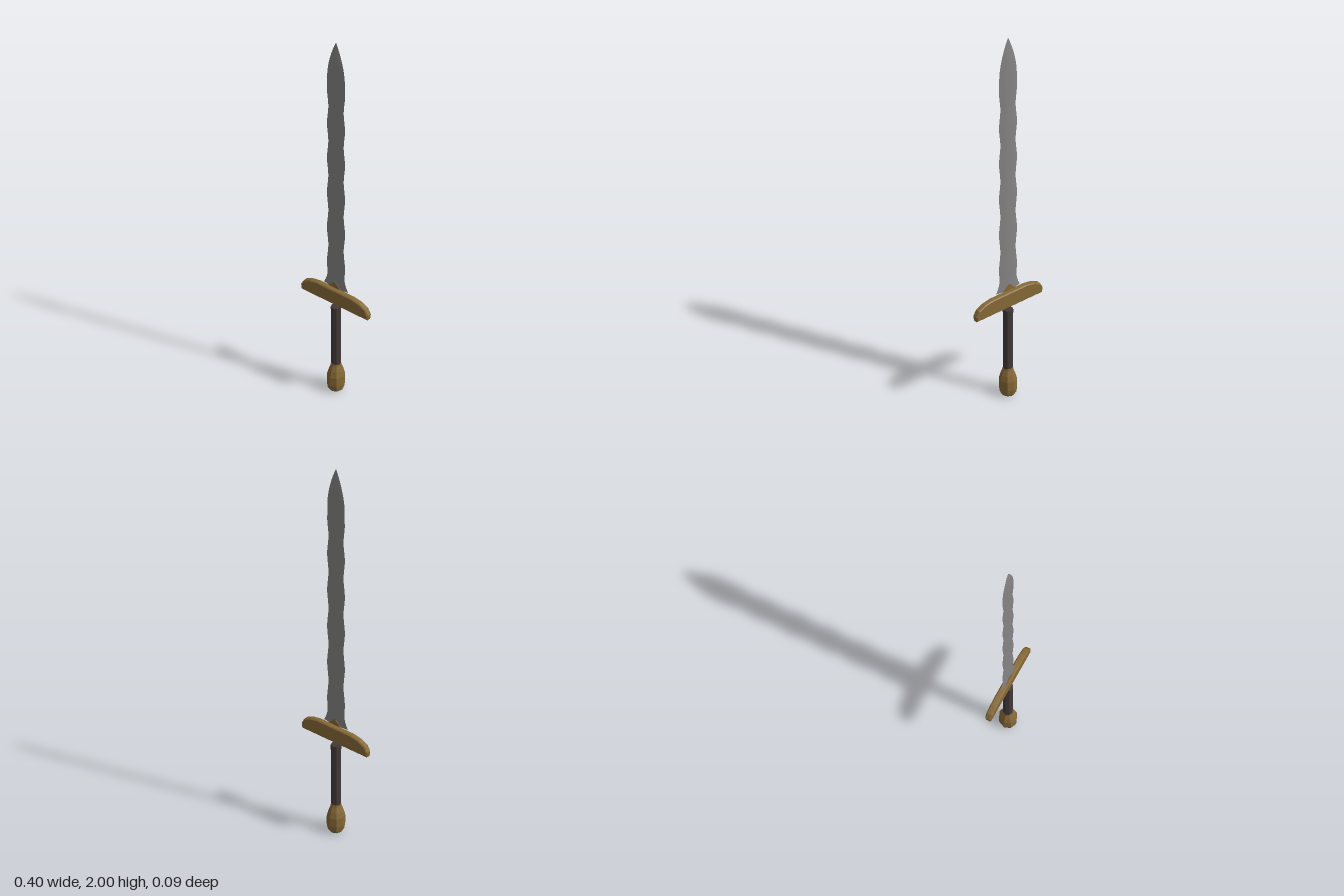
import * as THREE from 'three';

const mat = (name, color) => Object.assign(new THREE.MeshStandardMaterial({ color }), { name });

// Half width of the wavy blade at height y
function bladeWidth(y) {
  if (y < 0.66) return 0.05 + 0.022 * ((0.66 - y) / 0.075) ** 2;
  if (y < 1.71) return 0.05 + 0.004 * Math.cos((y - 0.71) / 0.2 * Math.PI * 2);
  if (y < 1.78) return 0.053;
  return 0.053 * (1 - ((y - 1.78) / 0.22) ** 1.8);
}

// One face of the blade, as rows of points from edge to edge
function bladeFace() {
  const section = [[-1, 0], [-0.5, 0.0055], [0, 0.008], [0.5, 0.0055], [1, 0]];
  const rows = 72, n = section.length, pos = [], idx = [];
  for (let i = 0; i <= rows; i++) {
    const y = 0.585 + 1.415 * i / rows, w = Math.max(bladeWidth(y), 0);
    const thick = Math.min(1, w / 0.04);
    for (const [u, z] of section) pos.push(u * w, y, z * thick);
  }
  for (let i = 0; i < rows; i++) {
    for (let j = 0; j < n - 1; j++) {
      const a = i * n + j, b = a + 1, c = a + n, d = c + 1;
      idx.push(a, b, d, a, d, c);
    }
  }
  const g = new THREE.BufferGeometry();
  g.setAttribute('position', new THREE.Float32BufferAttribute(pos, 3));
  g.setIndex(idx);
  g.computeVertexNormals();
  return g;
}

function polygon(points) {
  return new THREE.Shape(points.map(([x, y]) => new THREE.Vector2(x, y)));
}

export function createModel() {
  const model = new THREE.Group();
  model.name = 'sword';
  const steel = mat('steel', 0x868484);
  const bronze = mat('bronze', 0x866937);
  const leather = mat('leather', 0x423a39);
  bronze.flatShading = leather.flatShading = true;

  const add = (name, geometry, material, parent = model) => {
    const mesh = new THREE.Mesh(geometry, material);
    mesh.name = name;
    parent.add(mesh);
    return mesh;
  };

  // Blade: two matching faces, a closed base and small bronze tongues
  const blade = new THREE.Group();
  blade.name = 'blade';
  model.add(blade);
  const face = bladeFace();
  const tongue = new THREE.ExtrudeGeometry(
    polygon([[-0.035, 0.586], [0.035, 0.586], [0.014, 0.608], [0, 0.62], [-0.014, 0.608]]),
    { depth: 0.002, bevelEnabled: false });
  for (const turn of [0, Math.PI]) {
    add('bladeFace', face, steel, blade).rotation.y = turn;
    const plate = add('bladeTongue', tongue, bronze, blade);
    plate.rotation.y = turn;
    plate.position.z = turn ? -0.007 : 0.007;
  }
  const base = new THREE.ShapeGeometry(polygon(
    [[-0.072, 0], [-0.036, -0.0055], [0, -0.008], [0.036, -0.0055], [0.072, 0], [0.036, 0.0055], [0, 0.008], [-0.036, 0.0055]]));
  base.rotateX(Math.PI / 2).translate(0, 0.585, 0);
  add('bladeBase', base, steel, blade);

  // Crossguard: flat bottom, rounded shoulders, chamfered rim
  const half = [[0.192, 0.495], [0.195, 0.515], [0.18, 0.541], [0.145, 0.558], [0.1, 0.566]];
  const outline = [...half, ...half.slice().reverse().map(([x, y]) => [-x, y])];
  const guard = new THREE.ExtrudeGeometry(polygon(outline),
    { depth: 0.02, bevelThickness: 0.005, bevelSize: 0.005, bevelSegments: 1 });
  add('crossguard', guard.translate(0, 0, -0.01), bronze);

  // Eight-sided grip
  const grip = new THREE.CylinderGeometry(0.0245, 0.0235, 0.335, 8);
  add('grip', grip.translate(0, 0.3075, 0), leather);

  // Faceted pommel
  const profile = [[0, 0], [0.027, 0], [0.039, 0.012], [0.044, 0.04], [0.044, 0.085],
    [0.036, 0.115], [0.026, 0.14], [0.024, 0.152], [0, 0.152]];
  const pommel = new THREE.LatheGeometry(profile.map(([r, y]) => new THREE.Vector2(r, y)), 8);
  add('pommel', pommel.scale(0.96, 1, 1), bronze);

  return model;
}
